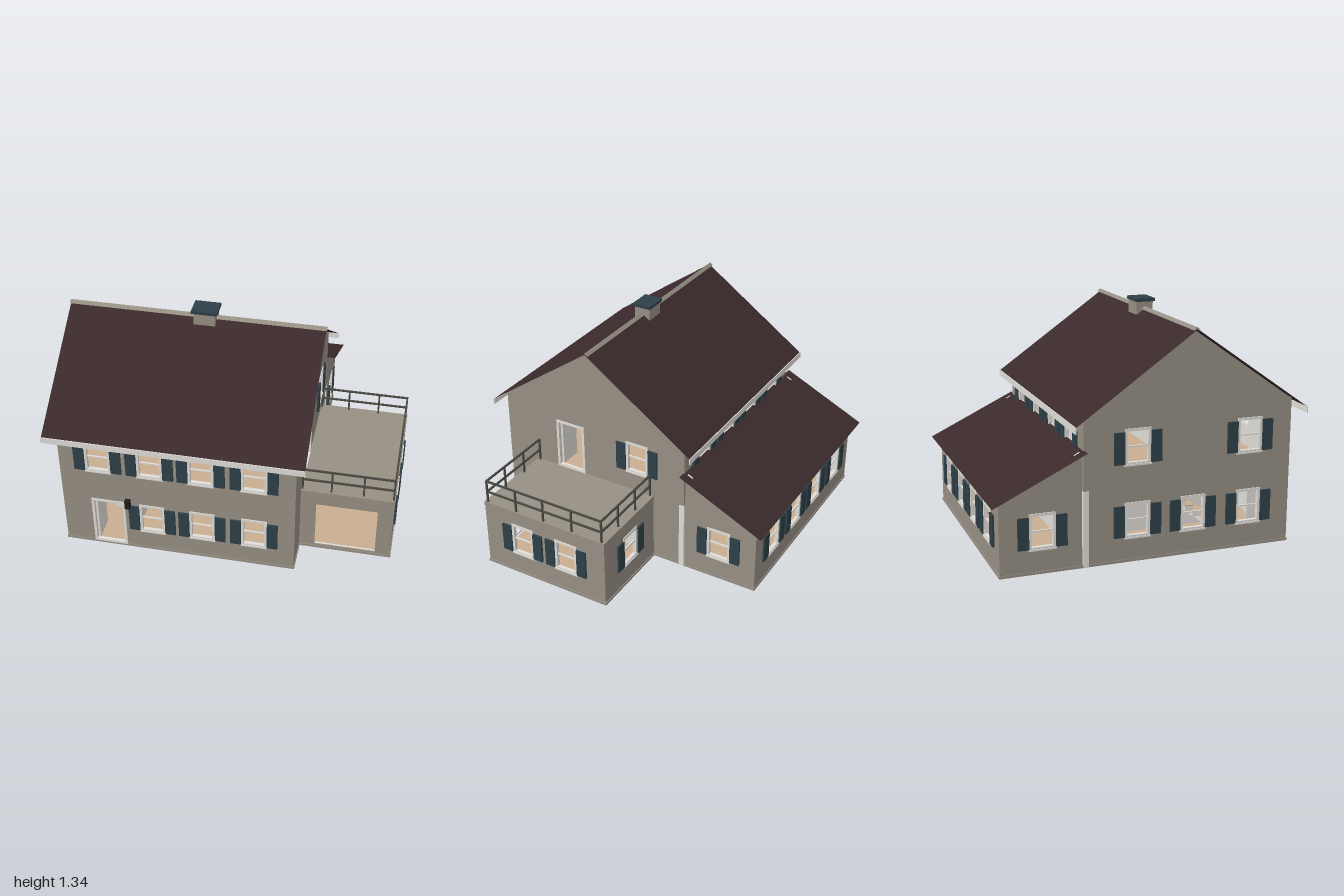
import * as THREE from 'three';

const mat = (name, color, side = THREE.FrontSide) => {
  const m = new THREE.MeshStandardMaterial({ color, side });
  m.name = name;
  return m;
};

export function createModel() {
  const house = new THREE.Group();
  house.name = 'house';
  const stucco = mat('stucco', 0x968f84);
  const white = mat('white trim', 0xe0ddd8);
  const roofMat = mat('roof', 0x3b2a2b, THREE.DoubleSide);
  const teal = mat('dark teal', 0x2e4048);
  const wood = mat('wood floor', 0xc9ad8f);
  const metal = mat('railing metal', 0x4b4943);
  const black = mat('black', 0x1c1b1c);

  const add = (parent, name, geo, material) => {
    const m = new THREE.Mesh(geo, material);
    m.name = name;
    parent.add(m);
    return m;
  };
  // box from its minimum and maximum corners
  const box = (parent, name, material, x0, x1, y0, y1, z0, z1) => {
    const m = add(parent, name, new THREE.BoxGeometry(x1 - x0, y1 - y0, z1 - z0), material);
    m.position.set((x0 + x1) / 2, (y0 + y1) / 2, (z0 + z1) / 2);
    return m;
  };
  const rect = (u0, u1, y0, y1) => [[u0, y0], [u1, y0], [u1, y1], [u0, y1]];
  const toVec = (pts) => pts.map(([u, y]) => new THREE.Vector2(u, y));
  const panel = (outline, holes, depth) => {
    const s = new THREE.Shape(toVec(outline));
    holes.forEach((h) => s.holes.push(new THREE.Path(toVec(h))));
    return new THREE.ExtrudeGeometry(s, { depth, bevelEnabled: false });
  };

  // window or door fittings in wall space (outside is local +z)
  function fitOpening(wall, o) {
    const [u0, u1, y0, y1] = o.r;
    if (o.kind === 'plain') return;
    const f = 0.009;
    const frame = add(wall, o.kind + 'Frame',
      panel(rect(u0 - f, u1 + f, y0 - f, y1 + f), [rect(u0 + 0.006, u1 - 0.006, y0 + 0.006, y1 - 0.006)], 0.022), white);
    frame.position.z = -0.017;
    if (o.kind === 'door') {
      // leaf standing open inside
      box(wall, 'doorLeaf', white, u0 + 0.008, u0 + 0.018, y0, y1 - 0.008, -0.16, -0.02);
      return;
    }
    const mid = (y0 + y1) / 2;
    box(wall, 'windowBar', white, u0, u1, mid - 0.004, mid + 0.004, -0.014, -0.004);
    box(wall, 'windowSill', white, u0 - 0.012, u1 + 0.012, y0 - 0.014, y0 - 0.004, -0.005, 0.009);
    for (const [a, b] of [[u0 - 0.072, u0 - 0.01], [u1 + 0.01, u1 + 0.072]]) {
      box(wall, 'shutter', teal, a, b, y0 - 0.002, y1 - 0.008, 0, 0.012);
    }
  }

  // wall: stucco skin with a white lining and cut openings
  function makeWall(name, outline, openings, angle, x, z, inset) {
    const wall = new THREE.Group();
    wall.name = name;
    const us = outline.map((p) => p[0]);
    const lo = Math.min(...us), hi = Math.max(...us);
    const trim = (d) => outline.map(([u, y]) => [Math.min(hi - d, Math.max(lo + d, u)), y]);
    const holes = openings.map((o) => rect(...o.r));
    add(wall, 'outerSkin', panel(trim(inset), holes, 0.008), stucco).position.z = -0.008;
    add(wall, 'innerLining', panel(trim(inset + 0.01), holes, 0.012), white).position.z = -0.02;
    openings.forEach((o) => fitOpening(wall, o));
    wall.rotation.y = angle;
    wall.position.set(x, 0, z);
    house.add(wall);
  }
  const win = (u, y) => ({ kind: 'window', r: [u - 0.066, u + 0.066, y, y + 0.185] });
  const LOW = 0.15, HIGH = 0.565;
  const cols = [-0.7, -0.397, -0.1, 0.205];
  const flip = (pts) => pts.map(([u, y]) => [-u, y]).reverse();
  const R = Math.PI / 2;

  // main house walls
  makeWall('frontWall', rect(-0.93, 0.44, 0, 0.85), [
    ...cols.map((c) => win(c, HIGH)), ...cols.slice(1).map((c) => win(c, LOW)),
    { kind: 'door', r: [-0.75, -0.567, 0.022, 0.337] }], 0, 0, 0.845, 0);
  makeWall('backWall', rect(-0.44, 0.93, 0, 0.85), cols.map((c) => win(-c, HIGH)), Math.PI, 0, -0.39, 0);
  const gable = [[-0.39, 0], [0.845, 0], [0.845, 0.85], [0.23, 1.278], [-0.39, 0.85]];
  makeWall('rightGable', gable, [win(-0.08, HIGH), win(0.59, HIGH), win(-0.08, LOW), win(0.25, LOW), win(0.59, LOW)],
    -R, -0.93, 0, 0.008);
  makeWall('leftGable', flip(gable), [win(0.076, HIGH), { kind: 'door', r: [-0.478, -0.3, 0.445, 0.75] }],
    R, 0.44, 0, 0.008);

  // rear extension walls
  const lean = [[-0.86, 0], [-0.39, 0], [-0.39, 0.652], [-0.86, 0.432]];
  makeWall('extensionRightWall', lean, [win(-0.622, LOW)], -R, -0.93, 0, 0.008);
  makeWall('extensionLeftWall', flip(lean), [win(0.622, LOW)], R, 0.44, 0, 0.008);
  makeWall('extensionBackWall', rect(-0.44, 0.93, 0, 0.432), cols.map((c) => win(-c, LOW)), Math.PI, 0, -0.86, 0);
  box(house, 'dividingWall', white, -0.935, 0.445, 0, 0.433, -0.393, -0.36);

  // garage
  makeWall('garageFront', rect(0.44, 0.98, 0, 0.43), [{ kind: 'plain', r: [0.53, 0.89, 0.025, 0.34] }], 0, 0, 0.64, 0);
  makeWall('garageBack', rect(-0.98, -0.44, 0, 0.43), [win(-0.71, LOW)], Math.PI, 0, -0.185, 0);
  makeWall('garageSide', rect(-0.64, 0.185, 0, 0.43), [win(-0.378, LOW), win(-0.076, LOW)], R, 0.98, 0, 0.008);
  box(house, 'garageLining', white, 0.441, 0.447, 0.02, 0.405, -0.16, 0.62);
  box(house, 'garageCeiling', white, 0.442, 0.965, 0.4, 0.408, -0.17, 0.625);
  box(house, 'terrace', stucco, 0.44, 0.982, 0.408, 0.435, -0.187, 0.642);

  // plinths, floors and ceilings
  box(house, 'mainPlinth', stucco, -0.934, 0.444, 0.002, 0.017, -0.864, 0.849);
  box(house, 'garagePlinth', stucco, 0.446, 0.985, 0.002, 0.017, -0.19, 0.645);
  box(house, 'groundFloor', wood, -0.915, 0.425, 0.017, 0.022, -0.845, 0.83);
  box(house, 'garageFloor', wood, 0.445, 0.965, 0.017, 0.022, -0.17, 0.625);
  box(house, 'groundCeiling', white, -0.915, 0.425, 0.4, 0.43, -0.375, 0.83);
  box(house, 'upperFloor', wood, -0.915, 0.425, 0.43, 0.437, -0.375, 0.83);
  box(house, 'upperCeiling', white, -0.915, 0.425, 0.835, 0.845, -0.375, 0.83);

  // inner partitions
  box(house, 'hallPartition', white, -0.54, -0.525, 0.022, 0.4, -0.36, 0.7);
  box(house, 'upperPartition', white, -0.56, 0.1, 0.437, 0.835, 0.27, 0.285);
  box(house, 'bedroomPartition', white, -0.2, -0.185, 0.437, 0.835, 0.27, 0.5);
  box(house, 'landingPartition', white, -0.56, 0.42, 0.437, 0.835, -0.18, -0.165).scale.y = 1;

  // staircase in the hall
  for (let i = 0; i < 10; i++) {
    const y = 0.022 + i * 0.037, z = 0.55 - i * 0.05;
    box(house, 'stairRiser', white, -0.72, -0.56, y, y + 0.031, z - 0.05, z);
    box(house, 'stairTread', wood, -0.725, -0.555, y + 0.031, y + 0.037, z - 0.05, z + 0.006);
  }

  // roof sheets, each given by its upper and lower edge
  const sheet = (name, material, x0, x1, zTop, yTop, zLow, yLow) => {
    const dz = zLow - zTop, dy = yTop - yLow;
    const g = new THREE.PlaneGeometry(x1 - x0, Math.hypot(dz, dy));
    if (dz > 0) g.rotateX(-Math.atan2(dz, dy));
    else g.rotateY(Math.PI).rotateX(Math.atan2(-dz, dy));
    add(house, name, g, material).position.set((x0 + x1) / 2, (yTop + yLow) / 2, (zTop + zLow) / 2);
  };
  sheet('frontRoof', roofMat, -0.995, 0.495, 0.23, 1.285, 0.907, 0.808);
  sheet('backRoof', roofMat, -0.995, 0.495, 0.23, 1.285, -0.453, 0.808);
  sheet('extensionRoof', roofMat, -0.99, 0.49, -0.385, 0.662, -0.91, 0.412);
  const ridgeMat = mat('ridge', 0x968f84, THREE.DoubleSide);
  sheet('ridgeCapFront', ridgeMat, -1, 0.5, 0.225, 1.297, 0.245, 1.28);
  sheet('ridgeCapBack', ridgeMat, -1, 0.5, 0.225, 1.297, 0.207, 1.28);
  box(house, 'frontFascia', white, -1, 0.498, 0.772, 0.809, 0.905, 0.911);
  box(house, 'backFascia', white, -1, 0.498, 0.772, 0.809, -0.457, -0.451);

  // chimney
  box(house, 'chimney', stucco, -0.258, -0.132, 1.2, 1.328, 0.176, 0.278);
  box(house, 'chimneyCap', teal, -0.27, -0.12, 1.325, 1.343, 0.168, 0.287);

  // terrace railing
  const rail = new THREE.Group();
  rail.name = 'terraceRailing';
  house.add(rail);
  const t = 0.005, zF = 0.622, zB = -0.165, xE = 0.972;
  const post = (x, z) => box(rail, 'railingPost', metal, x - t, x + t, 0.435, 0.58, z - t, z + t);
  for (const x of [0.447, 0.615, 0.8, xE]) [zF, zB].forEach((z) => post(x, z));
  for (const z of [0.42, 0.23, 0.035]) post(xE, z);
  for (const y of [0.505, 0.577]) {
    for (const z of [zF, zB]) box(rail, 'railingBar', metal, 0.442, xE + t, y - t, y + t, z - t, z + t);
    box(rail, 'railingBar', metal, xE - t, xE + t, y - t, y + t, zB, zF);
  }

  // porch lamp
  box(house, 'porchLamp', black, -0.552, -0.522, 0.318, 0.375, 0.845, 0.873);
  return house;
}
